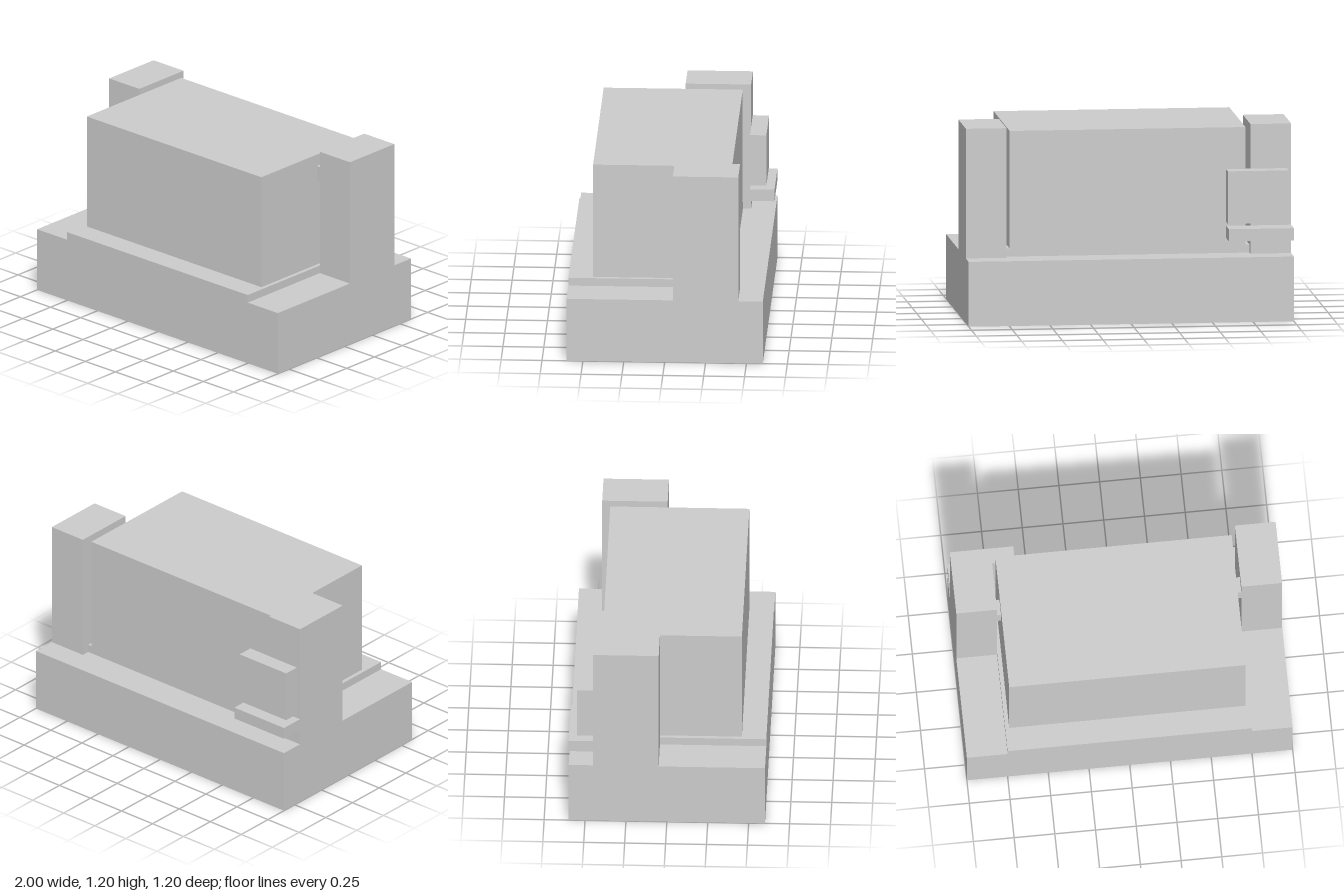
import * as THREE from 'three';

const material = new THREE.MeshStandardMaterial({ color: 0xcccccc, flatShading: true });

// Box given by its [min, max] extent on each axis
function block(name, [x0, x1], [y0, y1], [z0, z1]) {
  const mesh = new THREE.Mesh(new THREE.BoxGeometry(x1 - x0, y1 - y0, z1 - z0), material);
  mesh.position.set((x0 + x1) / 2, (y0 + y1) / 2, (z0 + z1) / 2);
  mesh.name = name;
  return mesh;
}

export function createModel() {
  const model = new THREE.Group();
  model.name = 'boxOnBase';

  // Base with a raised bed, and the large box standing on it
  model.add(
    block('base', [-1, 1], [0, 0.4], [-0.6, 0.6]),
    block('raisedBed', [-0.75, 0.75], [0.4, 0.45], [-0.4, 0.6]),
    block('mainBox', [-0.725, 0.725], [0.45, 1.175], [-0.4, 0.45])
  );

  // Side pillars, each with a small pin holding the box
  for (const [side, s] of [['left', 1], ['right', -1]]) {
    const span = (a, b) => [Math.min(s * a, s * b), Math.max(s * a, s * b)];
    model.add(
      block(side + 'Pillar', span(0.75, 1), [0.4, 1.2], [-0.45, -0.05]),
      block(side + 'Pin', span(0.725, 0.75), [1.0, 1.1], [-0.15, -0.05])
    );
  }

  // Screen and shelf on the back of the right pillar
  model.add(
    block('rearScreen', [-0.975, -0.6], [0.6, 0.925], [-0.55, -0.45]),
    block('rearShelf', [-1, -0.6], [0.5, 0.575], [-0.6, -0.45])
  );

  return model;
}
